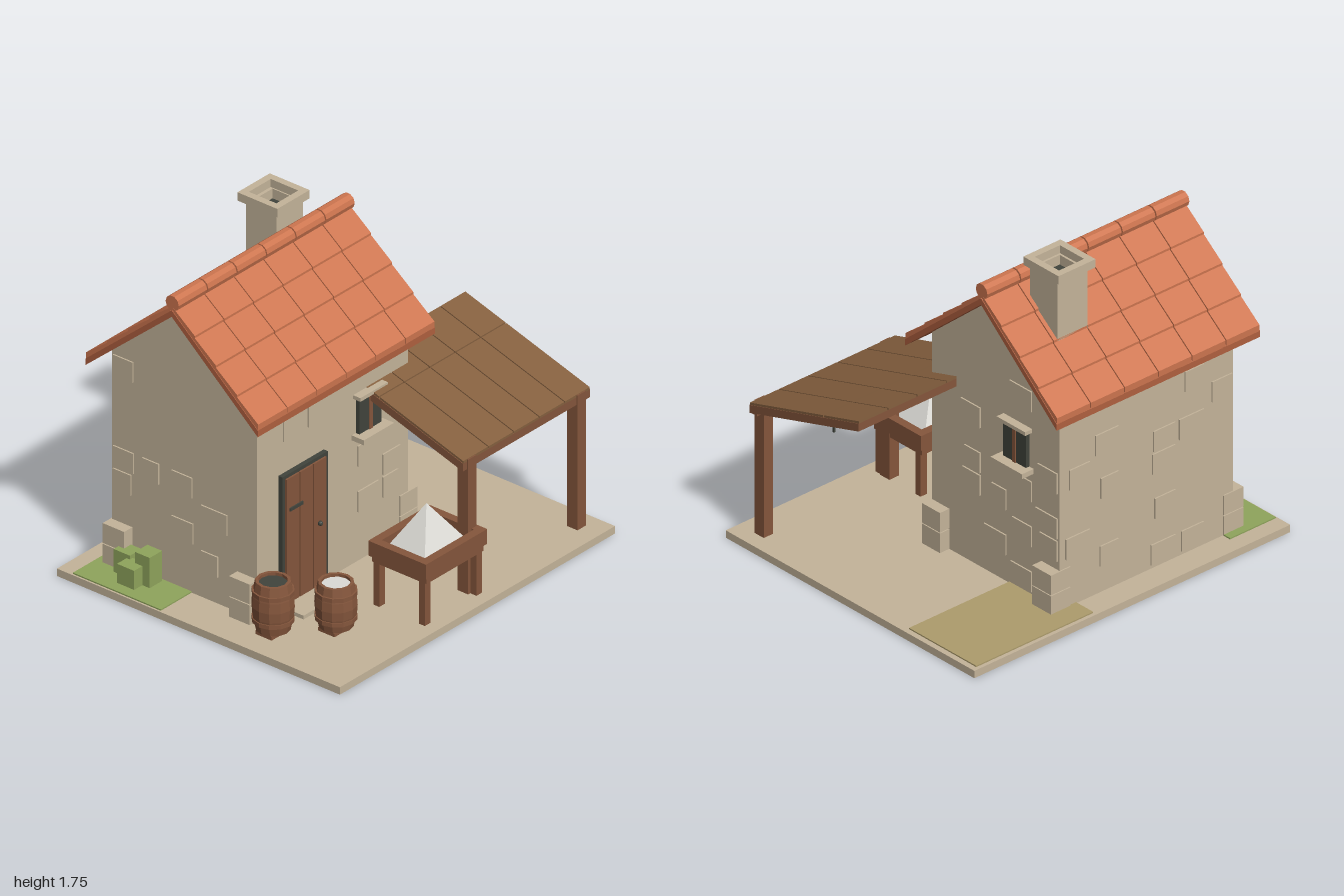
import * as THREE from 'three';

const mat = (name, color) => Object.assign(new THREE.MeshStandardMaterial({ color, flatShading: true }), { name });
const M = {
  stone: mat('stone', 0xc4b49a),
  tile: mat('terracotta', 0xcd754f),
  underlay: mat('roof underlay', 0xb0603f),
  wood: mat('wood', 0x85563c),
  plank: mat('awning plank', 0x85603f),
  dark: mat('dark iron', 0x41443c),
  white: mat('flour white', 0xdcdbd6),
  grass: mat('grass green', 0x8fa45c),
  straw: mat('straw', 0xad9c6c),
};

export function createModel() {
  const model = new THREE.Group();
  model.name = 'cottage';

  const add = (name, geo, material, parent = model) => {
    const mesh = new THREE.Mesh(geo, material);
    mesh.name = name;
    parent.add(mesh);
    return mesh;
  };
  const group = (name) => {
    const g = new THREE.Group();
    g.name = name;
    model.add(g);
    return g;
  };
  // box from its limits on each axis
  const box = (name, m, x0, x1, y0, y1, z0, z1, parent) =>
    add(name, new THREE.BoxGeometry(x1 - x0, y1 - y0, z1 - z0)
      .translate((x0 + x1) / 2, (y0 + y1) / 2, (z0 + z1) / 2), m, parent);
  // side outline of [z, y] points, extruded along x
  const prism = (name, m, pts, x0, x1, parent) => {
    const shape = new THREE.Shape(pts.map(([z, y]) => new THREE.Vector2(z, y)));
    const geo = new THREE.ExtrudeGeometry(shape, { depth: x1 - x0, bevelEnabled: false });
    return add(name, geo.rotateY(-Math.PI / 2).translate(x1, 0, 0), m, parent);
  };
  // square ring lying flat, made of four bars
  const ring = (name, m, x0, x1, y0, y1, z0, z1, t, parent) => {
    box(name, m, x0, x1, y0, y1, z0, z0 + t, parent);
    box(name, m, x0, x1, y0, y1, z1 - t, z1, parent);
    box(name, m, x0, x0 + t, y0, y1, z0 + t, z1 - t, parent);
    box(name, m, x1 - t, x1, y0, y1, z0 + t, z1 - t, parent);
  };

  // ground with its patches
  box('groundSlab', M.stone, -1, 1, 0, 0.04, -0.87, 0.87);
  box('grassPatch', M.grass, -0.99, -0.7, 0.04, 0.047, -0.78, -0.24);
  box('strawPatch', M.straw, 0.23, 0.97, 0.04, 0.047, -0.85, -0.38);
  box('doorStep', M.stone, -0.62, -0.26, 0.04, 0.06, 0.15, 0.325);
  const bush = group('bush');
  box('bushBlock', M.grass, -0.93, -0.84, 0.04, 0.15, -0.56, -0.455, bush);
  box('bushBlock', M.grass, -0.87, -0.78, 0.04, 0.21, -0.5, -0.41, bush);
  box('bushBlock', M.grass, -0.86, -0.775, 0.04, 0.17, -0.64, -0.54, bush);

  // house walls with gables
  const X0 = -0.765, X1 = 0.335, Z0 = -0.73, Z1 = 0.16, RZ = -0.285;
  prism('walls', M.stone, [[Z0, 0.04], [Z1, 0.04], [Z1, 1.175], [RZ, 1.56], [Z0, 1.175]], X0, X1);

  // corner stones
  const corners = group('cornerStones');
  for (const [x0, x1] of [[-0.825, -0.7], [0.27, 0.395]])
    for (const [z0, z1] of [[-0.737, -0.605], [0.04, 0.167]])
      for (const y of [0.04, 0.152]) box('cornerStone', M.stone, x0, x1, y, y + 0.107, z0, z1, corners);

  // raised wall stones, scattered in courses
  const stones = group('wallStones');
  let seed = 7;
  const rnd = () => (seed = (seed * 16807) % 2147483647) / 2147483647;
  const clear = (side, a, y) =>
    !(side === 'front' && ((a < -0.1 && a > -0.8 && y < 0.8) || (a > -0.28 && y > 0.58 && y < 0.98))) &&
    !(side === 'right' && a > -0.72 && a < -0.28 && y > 0.58 && y < 0.98);
  for (const side of ['front', 'back', 'left', 'right']) {
    const alongX = side === 'front' || side === 'back';
    const [lo, hi] = alongX ? [X0, X1] : [Z0, Z1];
    for (let y = 0.06; y < 1.05; y += 0.123)
      for (let a = lo + 0.01; a < hi - 0.17; a += 0.18) {
        const w = 0.1 + rnd() * 0.06;
        if (rnd() > 0.36 || !clear(side, a, y)) continue;
        if (side === 'front') box('wallStone', M.stone, a, a + w, y, y + 0.11, Z1 - 0.01, Z1 + 0.008, stones);
        if (side === 'back') box('wallStone', M.stone, a, a + w, y, y + 0.11, Z0 - 0.008, Z0 + 0.01, stones);
        if (side === 'left') box('wallStone', M.stone, X0 - 0.008, X0 + 0.01, y, y + 0.11, a, a + w, stones);
        if (side === 'right') box('wallStone', M.stone, X1 - 0.01, X1 + 0.008, y, y + 0.11, a, a + w, stones);
      }
  }

  // tiled roof, both slopes
  const roof = group('roof');
  const slope = (top, d) => top - 0.86 * d;
  const RX0 = -0.858, COL = 0.2145;
  for (const s of [1, -1]) {
    const z = (d) => RZ + s * d;
    prism('roofSlab', M.underlay, [[z(0), 1.59], [z(0.53), slope(1.59, 0.53)],
      [z(0.53), slope(1.555, 0.53)], [z(0), 1.555]], RX0, RX0 + 6 * COL, roof);
    for (let r = 0; r < 4; r++) {
      const d0 = 0.01 + r * 0.13, d1 = d0 + 0.13;
      for (let c = 0; c < 6; c++)
        prism('roofTile', M.tile, [[z(d0), slope(1.61, d0)], [z(d1), slope(1.622, d1)],
          [z(d1), slope(1.588, d1)], [z(d0), slope(1.588, d0)]],
        RX0 + c * COL + 0.003, RX0 + (c + 1) * COL - 0.003, roof);
    }
  }
  for (let c = 0; c < 6; c++)
    add('ridgeTile', new THREE.CylinderGeometry(0.041, 0.041, COL - 0.008, 10).rotateZ(Math.PI / 2)
      .translate(RX0 + (c + 0.5) * COL, 1.626, RZ), M.tile, roof);

  // hollow chimney with a cap
  const chimney = group('chimney');
  ring('chimneyShaft', M.stone, 0, 0.19, 1.3, 1.712, -0.555, -0.365, 0.025, chimney);
  box('flue', M.dark, 0.02, 0.17, 1.55, 1.66, -0.535, -0.385, chimney);
  ring('chimneyCap', M.stone, -0.025, 0.21, 1.71, 1.755, -0.585, -0.34, 0.038, chimney);

  // plank door
  const door = group('door');
  box('doorFrame', M.dark, -0.608, -0.278, 0.06, 0.75, 0.15, 0.185, door);
  for (let i = 0; i < 3; i++)
    box('doorPlank', M.wood, -0.588 + i * 0.098, -0.494 + i * 0.098, 0.06, 0.732, 0.16, 0.195, door);
  box('doorHinge', M.dark, -0.57, -0.475, 0.555, 0.572, 0.19, 0.202, door);
  add('doorHandle', new THREE.SphereGeometry(0.013, 8, 6).translate(-0.355, 0.4, 0.205), M.dark, door);

  // windows, built facing front and then placed
  const makeWindow = (name, x, z, turn) => {
    const w = group(name);
    for (const s of [-1, 1])
      box('windowPane', M.dark, s * 0.045 - 0.035, s * 0.045 + 0.035, 0.735, 0.935, -0.01, 0.022, w);
    box('windowBar', M.wood, -0.012, 0.012, 0.735, 0.935, -0.01, 0.028, w);
    box('windowLintel', M.stone, -0.1, 0.1, 0.93, 0.95, -0.01, 0.045, w);
    box('windowSill', M.stone, -0.11, 0.11, 0.71, 0.737, -0.01, 0.075, w);
    w.position.set(x, 0, z);
    w.rotation.y = turn;
  };
  makeWindow('frontWindow', 0.035, Z1, 0);
  makeWindow('sideWindow', X1, -0.44, Math.PI / 2);

  // lean-to awning on posts
  const awning = group('awning');
  const AY = (z) => 0.77 + (0.755 - z) * 0.307;
  prism('awningBase', M.wood, [[0.755, AY(0.755) - 0.055], [0.755, AY(0.755) - 0.012],
    [-0.01, AY(-0.01) - 0.012], [-0.01, AY(-0.01) - 0.055]], 0.03, 0.955, awning);
  for (const [z0, z1] of [[-0.01, 0.236], [0.242, 0.755]])
    for (let i = 0; i < 5; i++)
      prism('awningPlank', M.plank, [[z1, AY(z1) - 0.014], [z1, AY(z1)], [z0, AY(z0)], [z0, AY(z0) - 0.014]],
        0.03 + i * 0.185 + 0.003, 0.03 + (i + 1) * 0.185 - 0.003, awning);
  box('awningBeam', M.wood, 0.06, 0.955, 0.72, 0.76, 0.7, 0.75, awning);
  for (const x of [0.06, 0.855]) box('awningPost', M.wood, x, x + 0.06, 0.04, 0.768, 0.698, 0.762, awning);

  // tool rail with hanging tools
  const rail = group('toolRail');
  add('rail', new THREE.CylinderGeometry(0.019, 0.019, 0.56, 8).rotateZ(Math.PI / 2)
    .translate(0.46, 0.732, 0.468), M.wood, rail);
  for (const x of [0.265, 0.46, 0.66]) box('hangingTool', M.dark, x - 0.005, x + 0.005, 0.61, 0.73, 0.484, 0.494, rail);

  // barrels: open one and filled one
  const makeBarrel = (x, z, h, fill) => {
    const b = group('barrel');
    const profile = [[0, 0], [0.084, 0], [0.1, h * 0.3], [0.104, h * 0.5], [0.1, h * 0.7], [0.086, h], [0.07, h],
      [0.07, h - 0.03]].map(([r, y]) => new THREE.Vector2(r, y));
    add('barrelBody', new THREE.LatheGeometry(profile, 12), M.wood, b);
    for (const t of [0.22, 0.78])
      add('barrelHoop', new THREE.CylinderGeometry(0.103, 0.103, 0.022, 12).translate(0, h * t, 0), M.wood, b);
    add('barrelFill', new THREE.CylinderGeometry(0.074, 0.074, 0.01, 12).translate(0, h - 0.02, 0), fill, b);
    b.position.set(x, 0.06, z);
    box('barrelFoot', M.wood, -0.07, 0.07, -0.02, 0, -0.05, 0.05, b);
  };
  makeBarrel(-0.8, 0.29, 0.26, M.dark);
  makeBarrel(-0.585, 0.495, 0.235, M.white);

  // trough table with a heap of flour
  const table = group('table');
  box('tableTop', M.wood, -0.3, 0.115, 0.27, 0.325, 0.475, 0.81, table);
  ring('tableRim', M.wood, -0.315, 0.13, 0.305, 0.385, 0.465, 0.82, 0.045, table);
  for (const x of [-0.3, 0.075])
    for (const z of [0.485, 0.765]) box('tableLeg', M.wood, x, x + 0.04, 0.04, 0.28, z, z + 0.035, table);
  add('flourHeap', new THREE.ConeGeometry(Math.SQRT2, 0.235, 4).rotateY(Math.PI / 4)
    .scale(0.165, 1, 0.128).translate(-0.093, 0.437, 0.635), M.white, table);

  return model;
}
